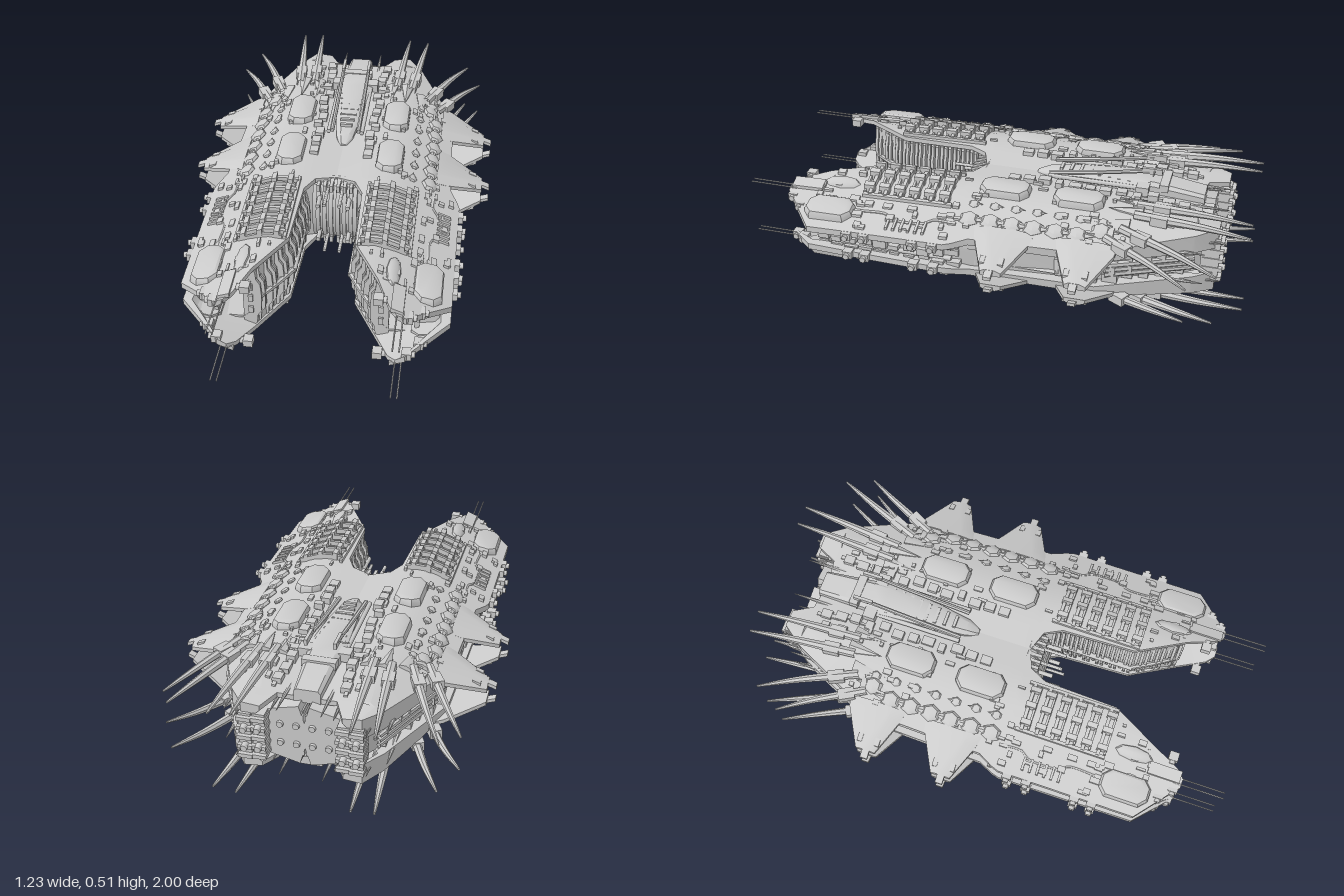
import * as THREE from 'three';
import { mergeGeometries, toCreasedNormals } from 'three/addons/utils/BufferGeometryUtils.js';

const MID = 0.245; // height of the plane the hull is mirrored about
const V = (x, y, z) => new THREE.Vector3(x, y, z);

// linear lookup in rows [z, a, b...] ordered front to back
function table(rows, z, k = 1) {
  if (z >= rows[0][0]) return rows[0][k];
  for (let i = 1; i < rows.length; i++) {
    const [p, q] = [rows[i - 1], rows[i]];
    if (z >= q[0]) return p[k] + (q[k] - p[k]) * (p[0] - z) / (p[0] - q[0]);
  }
  return rows[rows.length - 1][k];
}
// plan outline of one hull half: z, inner x, outer x
const PLAN = [[0.83, 0.31, 0.345], [0.8, 0.28, 0.375], [0.69, 0.215, 0.5], [0.5, 0.11, 0.5], [0.2, 0.1, 0.5],
  [0.13, 0.08, 0.5], [0.1, 0, 0.49], [0.04, 0, 0.46], [-0.45, 0, 0.445], [-0.62, 0, 0.365], [-0.79, 0, 0.285], [-0.8, 0.11, 0.28], [-0.88, 0.15, 0.22]];
const RIDGE = [[0.83, 0.4], [0.5, 0.41], [0, 0.42], [-0.5, 0.42], [-0.65, 0.414], [-0.8, 0.398], [-0.9, 0.38]];
const deck = (x, z) => table(RIDGE, z) - (Math.abs(x) > 0.22 ? (Math.abs(x) - 0.22) * 0.38 : (0.22 - Math.abs(x)) * 0.1);

// skin through closed rings, listed front to back, each counter-clockwise seen from the front
function loft(rings) {
  const n = rings[0].length, idx = [];
  rings.slice(1).forEach((_, i) => {
    for (let j = 0; j < n; j++) {
      const a = i * n + j, b = i * n + (j + 1) % n;
      idx.push(a, a + n, b, b, a + n, b + n);
    }
  });
  const e = (rings.length - 1) * n;
  for (let j = 1; j < n - 1; j++) idx.push(0, j, j + 1, e, e + j + 1, e + j);
  const g = new THREE.BufferGeometry();
  g.setAttribute('position', new THREE.Float32BufferAttribute(rings.flat(2), 3));
  g.setIndex(idx);
  return g;
}
// lift a geometry onto the sloping deck
function drape(g) {
  const p = g.attributes.position;
  for (let i = 0; i < p.count; i++) p.setY(i, p.getY(i) + deck(p.getX(i), p.getZ(i)));
  return g;
}
const box = (x, y, z, w, h, d, s = 1) => new THREE.BoxGeometry(w, h, d, s, 1, 1).translate(x, y, z);
const cyl = (x, y, z, r, len, axis, r2 = r) => {
  const g = new THREE.CylinderGeometry(r2, r, len, 12);
  if (axis === 'z') g.rotateX(-Math.PI / 2); else g.rotateZ(-Math.PI / 2);
  return g.translate(x, y, z);
};
// tapering curved horn
function spike(pts, r, tip = 0.08) {
  const c = new THREE.CatmullRomCurve3(pts.map(p => V(...p))), n = 10, m = 7;
  const g = new THREE.TubeGeometry(c, n, r, m), p = g.attributes.position, v = V();
  for (let i = 0; i < p.count; i++) {
    const t = Math.floor(i / (m + 1)) / n, o = c.getPointAt(t);
    v.fromBufferAttribute(p, i).sub(o).multiplyScalar(1 + (tip - 1) * t * t).add(o);
    p.setXYZ(i, v.x, v.y, v.z);
  }
  return g;
}
// rectangle with cut corners
function rect(S, x0, y0, x1, y1, c) {
  const s = new S();
  [[x0 + c, y0], [x1 - c, y0], [x1, y0 + c], [x1, y1 - c], [x1 - c, y1], [x0 + c, y1], [x0, y1 - c], [x0, y0 + c]]
    .forEach(([x, y], i) => i ? s.lineTo(x, y) : s.moveTo(x, y));
  s.closePath();
  return s;
}
function frame(outer, inner, z, depth) {
  const s = rect(THREE.Shape, ...outer);
  s.holes.push(rect(THREE.Path, ...inner));
  return new THREE.ExtrudeGeometry(s, { depth, bevelEnabled: false }).translate(0, 0, z);
}

export function createModel() {
  const parts = {};
  // sx / sy: also add copies mirrored across x = 0 / the middle height
  function put(name, geo, sx = true, sy = true) {
    const src = (geo.index ? geo.toNonIndexed() : geo).attributes.position;
    for (const a of sx ? [1, -1] : [1]) for (const b of sy ? [1, -1] : [1]) {
      const out = [];
      for (let i = 0; i < src.count; i++) {
        const j = a * b < 0 && i % 3 ? i + (i % 3 === 1 ? 1 : -1) : i;
        out.push(src.getX(j) * a, b > 0 ? src.getY(j) : 2 * MID - src.getY(j), src.getZ(j));
      }
      const g = new THREE.BufferGeometry();
      g.setAttribute('position', new THREE.Float32BufferAttribute(out, 3));
      (parts[name] ??= []).push(toCreasedNormals(g, 0.6));
    }
  }
  let seed = 7;
  const rnd = (a, b) => { seed = (seed * 16807) % 2147483647; return a + (b - a) * seed / 2147483647; };

  // armour shells above and below, with a lip along the outer edge
  put('armourShell', loft(PLAN.map(([z, xi, xo]) => {
    const a = xi + (z > 0.13 && z < 0.7 ? 0.015 : 0), at = t => a + (xo - a) * t;
    const low = Math.min(deck(xo, z) - 0.025, z > 0.7 ? 0.3 + (z - 0.7) * 0.2 : 0.3);
    return [...[0, 0.4, 0.8].map(t => [at(t), deck(at(t), z) - 0.02, z]), [at(0.87), low, z], [xo, low, z],
      ...[1, 0.8, 0.6, 0.4, 0.2, 0].map(t => [at(t), deck(at(t), z), z])];
  })));
  // recessed core hull between the shells
  put('coreHull', loft([0.5, 0.2, 0.13, 0.1, -0.45, -0.62, -0.78, -0.84].map(z => {
    const a = z > 0.11 ? table(PLAN, z, 1) + 0.03 : 0, b = table(PLAN, z, 2) - 0.05, h = z < -0.7 ? 0.125 : 0.138;
    return [[a + 0.02, MID - h, z], [b - 0.06, 0.15, z], [b, 0.185, z], [b, 0.305, z], [b - 0.06, 0.34, z], [a + 0.02, MID + h, z], [a, 0.3, z], [a, 0.19, z]];
  })), true, false);
  put('innerWall', loft([[0.665, 0.222], [0.5, 0.14]].map(([z, x]) => [[x, 0.11, z], [0.24, 0.11, z], [0.24, 0.38, z], [x, 0.38, z]])), true, false);
  // hangar bays in the prong noses
  const mouth = [0.25, 0.15, 0.37, 0.34, 0.02];
  put('hangarBay', frame([0.22, 0.145, 0.445, 0.345, 0.05], mouth, 0.48, 0.18), true, false);
  put('hangarFrame', frame([0.238, 0.14, 0.382, 0.35, 0.025], mouth, 0.655, 0.025), true, false);
  for (const x of [0.243, 0.377]) for (const y of [0.19, 0.245, 0.3]) put('hangarFrame', box(x, y, 0.67, 0.018, 0.03, 0.035), true, false);

  // curved ribs on the inner prong walls
  for (let i = 0; i < 27; i++) {
    const z = 0.16 + i * 0.0195, x = table(PLAN, z, 1) + (i % 3 ? 0 : 0.01);
    const half = [[0.045, 0.395], [0.02, 0.37], [0.018, 0.335], [0.003, 0.31], [0, 0.262]];
    const pts = [...half, ...half.slice().reverse().map(([u, y]) => [u, 2 * MID - y]), [0.07, 0.1], [0.07, 0.39]];
    const s = new THREE.Shape(pts.map(([u, y]) => new THREE.Vector2(x + u, y)));
    put('innerRib', new THREE.ExtrudeGeometry(s, { depth: 0.012, bevelEnabled: false }).translate(0, 0, z), true, false);
  }
  put('innerPipe', cyl(0.11, MID, 0.33, 0.012, 0.36, 'z'), true, false);
  put('innerPipe', spike([[0.11, MID, 0.5], [0.16, MID, 0.59], [0.21, MID, 0.67]], 0.012, 0.8), true, false);

  // rounded bow between the prongs
  put('centreBow', cyl(0, 0, 0, 0.148, 0.18, 'x').scale(1, 1, 0.5).translate(0, MID, 0.09), false, false);
  for (const x of [0.014, 0.04, 0.066]) {
    put('bowStrip', cyl(0, 0, 0, 0.155, 0.017, 'x').scale(1, 1, 0.52).translate(x, MID, 0.094), true, false);
    put('bowVent', box(x, 0.375, 0.13, 0.013, 0.03, 0.05));
  }
  put('bowCannon', cyl(0.03, 0.36, 0.18, 0.007, 0.13, 'z'));
  put('bowCannon', cyl(0.06, 0.33, 0.17, 0.009, 0.09, 'z'));

  // slatted grilles on the prong decks
  for (let r = 0; r < 6; r++) {
    const z = 0.17 + r * 0.063;
    put('deckGrille', drape(box(0.235, 0.008, z, 0.19, 0.022, 0.014, 4)));
    put('deckGrille', drape(box(0.235, 0.006, z + 0.026, 0.17, 0.016, 0.009, 4)));
    for (const x of [0.17, 0.235, 0.3]) put('deckGrille', drape(box(x, 0.012, z + 0.01, 0.02, 0.04, 0.042)));
    put('edgeLouvre', drape(box(0.445, 0.004, 0.22 + r * 0.03, 0.05, 0.014, 0.01)));
  }
  for (const x of [0.14, 0.33]) put('grilleRail', drape(box(x, 0.004, 0.33, 0.012, 0.02, 0.37)));
  put('edgePipe', drape(new THREE.TubeGeometry(new THREE.CatmullRomCurve3([V(0.4, 0, 0.12), V(0.4, 0, 0.2), V(0.42, 0, 0.23), V(0.42, 0, 0.36), V(0.4, 0, 0.39), V(0.4, 0, 0.5)]), 20, 0.006, 6)));

  // raised octagonal pods
  for (const [x, z, w, d] of [[0.205, -0.335, 0.054, 0.1], [0.205, -0.04, 0.054, 0.1], [0.41, 0.625, 0.053, 0.1]]) {
    const c = 0.03;
    const o = [[w - c, -d], [c - w, -d], [-w, c - d], [-w, d - c], [c - w, d], [w - c, d], [w, d - c], [w, c - d]];
    put('deckPod', loft([[0.75, 0.026], [0.92, 0.021], [1, 0.008], [1, -0.025]].map(([k, h]) =>
      o.map(([u, v]) => [x + u * k, h + (deck(x + u, z + v) + deck(x, z)) / 2, z + v * k]))));
  }

  // thin side fins, following the slope of the shell
  for (const z of [-0.08, -0.4]) {
    const fin = [[0.4, 0.11], [0.44, 0.1], [0.585, 0.035], [0.585, -0.045], [0.44, -0.12], [0.4, -0.125]];
    const level = (k, y) => fin.map(([x, w]) => [x, y + deck(x, z), z + w * k]);
    put('sideFin', loft([level(0.5, 0.01), level(1, 0), level(1, -0.016)]));
    put('finTip', drape(box(0.595, 0.002, z, 0.042, 0.014, 0.03)));
    for (const s of [1, -1]) put('finTip', drape(box(0.545, 0.002, z + s * 0.036, 0.03, 0.022, 0.02)));
  }
  // overlapping scales
  for (let i = 0; i < 7; i++) {
    const z = 0.06 - i * 0.085;
    for (const [x, s] of [[0.375 - Math.max(0, i - 5) * 0.03, 0.042], [0.305, 0.022]]) {
      put('deckScale', drape(new THREE.SphereGeometry(s, 6, 4).scale(0.8, 0.4, 1).translate(x, 0.004, z)));
      put('deckScale', drape(new THREE.ConeGeometry(s * 0.5, s * 1.6, 5).rotateX(-Math.PI / 2).scale(1, 0.5, 1).translate(x, 0.006, z - s)));
    }
  }

  // horns sweeping from the stern, with collars
  for (const [x0, z0, x1, z1, y1, r] of [[0.185, -0.56, 0.21, -1, 0.413, 0.018], [0.25, -0.56, 0.295, -1, 0.405, 0.019],
    [0.32, -0.52, 0.49, -0.9, 0.345, 0.018], [0.37, -0.47, 0.55, -0.8, 0.315, 0.017]]) {
    const y0 = deck(x0, z0) + 0.004, at = t => [x0 + (x1 - x0) * t, y0 + (y1 - y0) * t, z0 + (z1 - z0) * t];
    const m = at(0.6);
    m[0] -= (x1 - x0) * 0.03; m[1] += 0.006;
    put('sternHorn', spike([at(0), m, at(1)], r, 0.25));
    put('hornCollar', box(0, 0, 0, 0.046, 0.036, 0.065).rotateY(Math.atan2(x0 - x1, z0 - z1)).translate(...at(0.22)));
    put('hornRoot', drape(new THREE.ConeGeometry(0.03, 0.14, 6).rotateX(Math.PI / 2).scale(1, 0.6, 1).translate(x0 - 0.02, 0, z0 + 0.04)));
  }
  for (const [x, y, z] of [[0.08, 0.385, -0.9], [0.115, 0.355, -0.87], [0.24, 0.33, -0.9], [0.3, 0.31, -0.84]]) put('sternSpine', spike([[x, y - 0.01, -0.66], [x, y, -0.78], [x, y, z]], 0.01, 0.15));

  // nose antennas, lugs and edge blocks
  for (const x of [0.31, 0.333]) put('noseAntenna', cyl(x, 0.36, 0.9, 0.0028, 0.2, 'z'));
  put('nosePlate', drape(box(0.31, 0.004, 0.755, 0.045, 0.018, 0.13)));
  put('nosePlate', drape(new THREE.SphereGeometry(0.055, 8, 6).scale(0.5, 0.3, 1.4).translate(0.28, 0, 0.62)));
  for (const [x, z] of [[0.51, 0.17], [0.51, 0.25], [0.51, 0.45], [0.51, 0.52], [0.4, 0.76], [0.36, 0.805], [0.25, 0.77]]) {
    const y = deck(x, z) - 0.012;
    put('edgeBlock', box(x - 0.01, y, z, 0.036, 0.03, 0.038));
    put('edgeBlock', cyl(x + 0.006, y, z, 0.012, 0.03, 'x'));
  }

  // equipment in the recessed side band
  put('sideWindow', new THREE.TorusGeometry(0.062, 0.012, 4, 4).rotateZ(Math.PI / 4).scale(2.2, 0.9, 1).rotateY(Math.PI / 2).translate(0.41, MID, -0.21), true, false);
  for (let i = 0; i < 24; i++) {
    const z = 0.64 - i * 0.06, x = table(PLAN, z, 2) - 0.052;
    if (z > -0.12 || z < -0.3) for (const y of [0.205, 0.245, 0.285]) put('sideMachinery', box(x, y, z, rnd(0.02, 0.07), rnd(0.018, 0.036), rnd(0.03, 0.058)), true, false);
  }
  for (const y of [0.22, 0.27]) put('sidePipe', cyl(0.45, y, 0.36, 0.011, 0.5, 'z'), true, false);
  for (const y of [0.225, 0.245, 0.265]) put('sidePipe', spike([[0.4, y, -0.48], [0.32, y, -0.66], [0.26, y, -0.8]], 0.014, 0.7), true, false);

  // small plating on the decks
  for (let i = 0; i < 100; i++) {
    const z = rnd(-0.76, 0.7), a = Math.max(0.11, table(PLAN, z, 1) + 0.04), x = rnd(a, table(PLAN, z, 2) - 0.02);
    if (z > 0.13 && z < 0.54 && x < 0.36) continue;
    put('deckDetail', drape(box(x, 0.003, z, rnd(0.008, 0.024), rnd(0.008, 0.02), rnd(0.012, 0.04))));
  }
  // channel walls beside the spine
  for (let i = 0; i < 12; i++) put('spineBlock', box(0.115 + rnd(-0.01, 0.012), 0.41 - Math.max(0, i - 9) * 0.008, -0.05 - i * 0.062, 0.035, rnd(0.025, 0.05), rnd(0.025, 0.05)));

  // command tower on the spine
  const hullLoft = rows => loft(rows.map(([z, w0, y0, w1, y1]) => [[-w0, y0, z], [w0, y0, z], [w0, y1 - 0.012, z], [w1, y1, z], [-w1, y1, z], [-w0, y1 - 0.012, z]]));
  put('commandTower', hullLoft([[-0.12, 0.015, 0.38, 0.008, 0.405], [-0.17, 0.035, 0.38, 0.018, 0.425], [-0.32, 0.055, 0.38, 0.03, 0.44], [-0.52, 0.07, 0.38, 0.045, 0.447], [-0.6, 0.062, 0.38, 0.045, 0.445], [-0.8, 0.05, 0.36, 0.04, 0.415]]), false, false);
  put('bridge', box(0, 0.425, -0.56, 0.2, 0.035, 0.05), false, false);
  put('bridge', box(0, 0.43, -0.64, 0.13, 0.03, 0.035), false, false);
  for (let i = 0; i < 8; i++) put('towerRib', box(0, 0.425, -0.22 - i * 0.04, 0.05 + i * 0.009, 0.034, 0.012), false, false);
  put('towerRail', cyl(0.07, 0.425, -0.38, 0.009, 0.4, 'z'), true, false);
  // raised masts
  put('mast', spike([[0.055, 0.43, -0.18], [0.055, 0.465, -0.4], [0.055, 0.498, -0.58]], 0.009, 0.8), true, false);
  put('mast', box(0.055, 0.499, -0.59, 0.012, 0.024, 0.08), true, false);
  put('mast', cyl(0.075, 0.502, -0.6, 0.003, 0.05, 'x'), true, false);

  // keel and its trailing booms
  put('keel', hullLoft([[-0.02, 0.04, 0.06, 0.03, 0.13], [-0.16, 0.055, 0.035, 0.07, 0.13], [-0.27, 0.045, 0.002, 0.07, 0.13], [-0.38, 0.045, 0, 0.07, 0.13], [-0.5, 0.05, 0.03, 0.07, 0.13], [-0.78, 0.045, 0.07, 0.05, 0.13]]), false, false);
  for (let i = 0; i < 9; i++) put('keelRib', box(0, 0.065, -0.12 - i * 0.055, 0.13, 0.06, 0.014), false, false);
  put('keelBoom', spike([[0.055, 0.02, -0.24], [0.055, 0.02, -0.45], [0.055, 0.03, -0.64]], 0.01, 0.8), true, false);
  put('keelBoom', box(0.055, 0.03, -0.65, 0.014, 0.026, 0.07), true, false);
  put('keelBoom', cyl(0.08, 0.018, -0.62, 0.003, 0.06, 'x'), true, false);

  // stern engine stacks
  for (const [x, z, rows] of [[0.03, -0.79, 5], [0.09, -0.79, 5], [0.155, -0.85, 5], [0.205, -0.855, 5]]) {
    put('engineStack', box(x, MID, z, 0.046, rows * 0.039, 0.07), true, false);
    for (let i = 0; i < rows; i++) put('engineSlat', box(x, MID + (i - (rows - 1) / 2) * 0.04, z - 0.01, 0.054, 0.016, 0.08), true, false);
    put('engineNozzle', cyl(x, MID + 0.04, z - 0.045, 0.016, 0.03, 'z', 0.012));
  }

  const group = new THREE.Group();
  group.name = 'spaceship';
  const material = new THREE.MeshStandardMaterial({ color: 0xcccccc, side: THREE.DoubleSide });
  for (const [name, list] of Object.entries(parts)) {
    const mesh = new THREE.Mesh(mergeGeometries(list), material);
    mesh.name = name;
    group.add(mesh);
  }
  return group;
}
